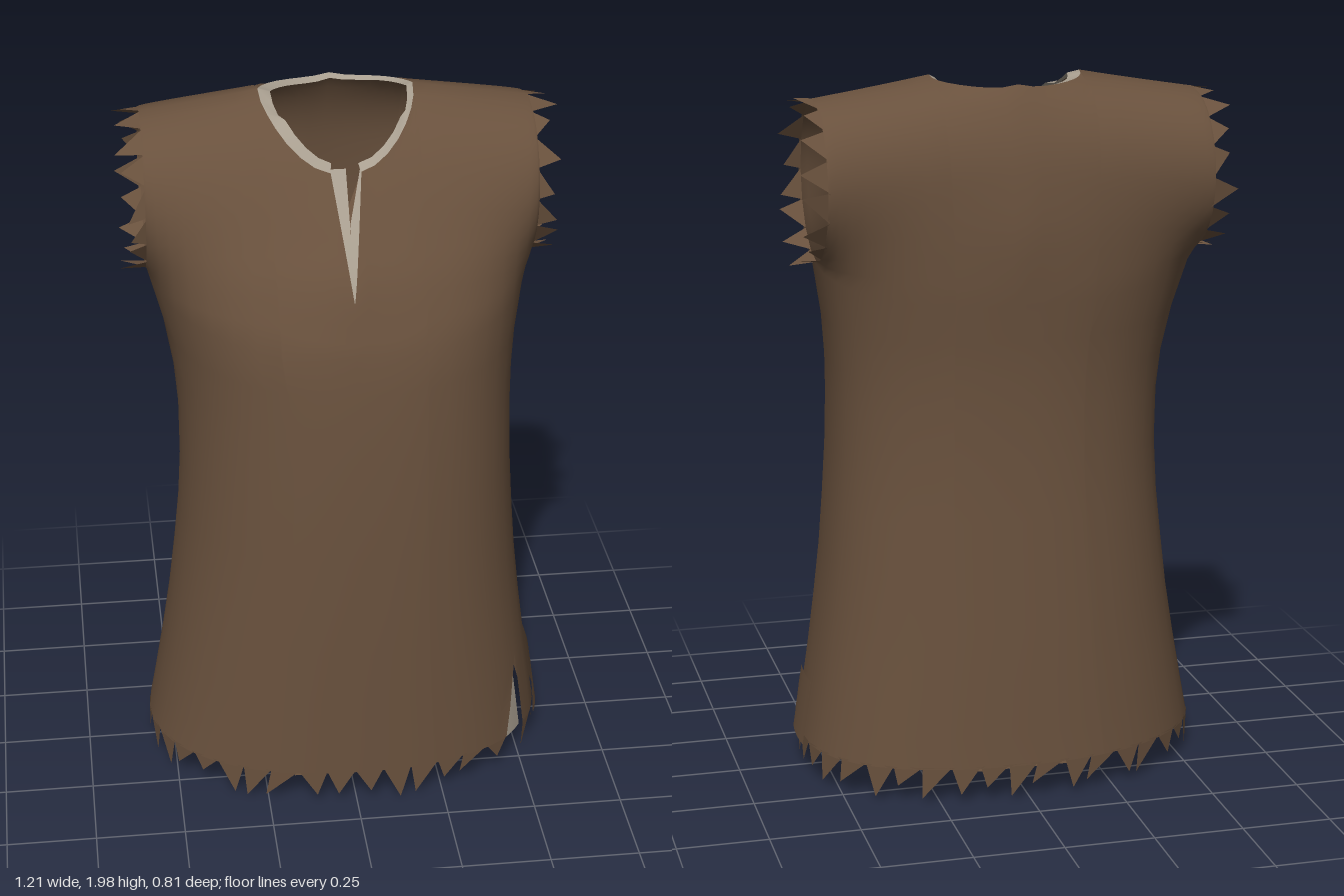
import * as THREE from 'three';
import { mergeVertices } from 'three/addons/utils/BufferGeometryUtils.js';

const V = (x, y, z) => new THREE.Vector3(x, y, z);
const lerp = THREE.MathUtils.lerp;
const ARM = 0.53, CHEST = 0.494, NECK = 0.21, SLIT_TOP = 0.35;
const LEFT_POWER = 2.4, RIGHT_POWER = 2.15;

// body sections: height, half width, front z, back z, side z, sideways shift
const SECTIONS = [
  [0.11, 0.570, 0.410, -0.402, 0.00, 0.002], [0.20, 0.555, 0.410, -0.396, 0.00, 0.004],
  [0.35, 0.530, 0.410, -0.388, 0.00, 0.006], [0.50, 0.508, 0.410, -0.378, 0.00, 0.008],
  [0.65, 0.490, 0.409, -0.368, -0.01, 0.010], [0.80, 0.476, 0.406, -0.358, -0.01, 0.012],
  [0.95, 0.467, 0.402, -0.348, -0.02, 0.013], [1.10, 0.465, 0.394, -0.345, -0.04, 0.013],
  [1.20, 0.468, 0.387, -0.346, -0.06, 0.011], [1.30, 0.477, 0.378, -0.350, -0.09, 0.007],
  [1.40, CHEST, 0.365, -0.360, -0.12, 0],
];
// centre outlines of the upper front and back, as [z, y] up to the shoulder ridge
const FRONT = [[0.365, 1.4], [0.31, 1.58], [0.24, 1.69], [0.165, 1.79], [0.085, 1.89], [0, 1.97], [-0.1, 2.04]];
const BACK = [[-0.36, 1.4], [-0.37, 1.57], [-0.36, 1.7], [-0.34, 1.81], [-0.305, 1.9], [-0.25, 1.98], [-0.1, 2.04]];

function random(seed) {
  return () => (seed = (seed * 16807) % 2147483647) / 2147483647;
}

// how far a column has turned from the middle (0) to the side (1)
function roundness(u) {
  const n = u > 0 ? LEFT_POWER : RIGHT_POWER;
  return 1 - Math.pow(Math.max(0, 1 - Math.pow(Math.abs(u), n)), 1 / n);
}

// columns across the body, closer together at the neck edge and armholes
const half = [], a = NECK / ARM;
for (let i = 0; i <= 8; i++) half.push(a * Math.sin(i / 8 * Math.PI / 2));
for (let i = 1; i <= 8; i++) half.push(a + (1 - a) * Math.sin(i / 8 * Math.PI / 2));
const COLUMNS = [...half.slice(1).reverse().map(u => -u), ...half];

// point on the lower body; side is 1 for front and -1 for back
function bodyPoint(u, side, y) {
  let i = 0;
  while (i < SECTIONS.length - 2 && y > SECTIONS[i + 1][0]) i++;
  const p = SECTIONS[i], q = SECTIONS[i + 1], f = (y - p[0]) / (q[0] - p[0]);
  const [, w, zf, zb, zc, shift] = p.map((n, k) => lerp(n, q[k], f));
  const r = roundness(u), flare = r * Math.pow(Math.max(0, (y - 0.9) / 0.5), 4);
  return V(u * (w + (ARM - CHEST) * flare) + shift, y + 0.1 * flare, lerp(side > 0 ? zf : zb, zc, r));
}

// upper outline over one column, blending the centre outline into the armhole circle
function upperCurve(u, side) {
  const r = roundness(u);
  return new THREE.CatmullRomCurve3((side > 0 ? FRONT : BACK).map(([z, y], k) => {
    const t = -Math.PI / 2 + k / 6 * Math.PI;
    const w = lerp(r, Math.pow(Math.abs(u), 0.8), k / 6);
    const x = u * lerp(CHEST, ARM, lerp(r, 1, Math.min(1, k / 4)));
    return V(x, lerp(y, 1.72 + 0.22 * Math.sin(t), w), lerp(z, -0.12 + side * 0.215 * Math.cos(t), w));
  }));
}

function solve(test) {
  let lo = 0, hi = 1;
  for (let i = 0; i < 30; i++) {
    const mid = (lo + hi) / 2;
    if (test(mid)) lo = mid; else hi = mid;
  }
  return lo;
}

// curve parameter at which a column meets the neckline
function neckEnd(curve, u, side, notch) {
  const s = Math.abs(u) / a;
  if (s >= 0.9999) return 1;
  const ridge = -0.107;
  let z = ridge + side * (side > 0 ? 0.235 : 0.147) * Math.sqrt(1 - s * s);
  if (notch && u === 0 && side > 0) z = 0.185;
  return solve(t => side * (curve.getPoint(t).z - z) > 0);
}

function gridTriangles(rows) {
  const out = [];
  for (let i = 0; i + 1 < rows.length; i++)
    for (let j = 0; j + 1 < rows[i].length; j++) {
      const p = rows[i][j], q = rows[i][j + 1], r = rows[i + 1][j + 1], s = rows[i + 1][j];
      out.push(p, q, r, p, r, s);
    }
  return out;
}

function smooth(points) {
  const g = mergeVertices(new THREE.BufferGeometry().setFromPoints(points), 1e-4);
  g.computeVertexNormals();
  return g;
}

function flat(points) {
  const g = new THREE.BufferGeometry().setFromPoints(points);
  g.computeVertexNormals();
  return g;
}

// torn points along an edge
function teeth(edge, count, direction, min, max, seed) {
  const rnd = random(seed), out = [];
  const pts = new THREE.CatmullRomCurve3(edge).getSpacedPoints(count);
  const back = direction.clone().multiplyScalar(-0.006);
  for (let i = 0; i < count; i++) {
    const tip = pts[i].clone().lerp(pts[i + 1], -0.2 + 0.9 * rnd());
    tip.addScaledVector(direction, min + (max - min) * rnd());
    out.push(pts[i].clone().add(back), tip, pts[i + 1].clone().add(back));
  }
  return out;
}

export function createModel() {
  const group = new THREE.Group();
  const cloth = new THREE.MeshStandardMaterial({ name: 'brown cloth', color: 0x69513d, side: THREE.DoubleSide });
  const lining = new THREE.MeshStandardMaterial({ name: 'pale lining', color: 0xa99f90, side: THREE.DoubleSide });
  const add = (name, geometry, material) => {
    const mesh = new THREE.Mesh(geometry, material);
    mesh.name = name;
    group.add(mesh);
  };

  // lower body, wrapped around from the slit at the left front
  const ring = [...COLUMNS.map(u => [u, 1]), ...COLUMNS.slice(0, -1).reverse().map(u => [u, -1])].slice(0, -1);
  let start = 0;
  ring.forEach(([u, s], i) => {
    if (s > 0 && Math.abs(u - 0.9) < Math.abs(ring[start][0] - 0.9)) start = i;
  });
  const wrapped = [...ring.slice(start), ...ring.slice(0, start + 1)];
  const rowAt = y => wrapped.map(([u, s], i) => {
    // the front edge of the slit is drawn back towards the middle
    const k = wrapped.length - 1 - i;
    const open = k < 4 ? 0.11 * Math.max(0, (SLIT_TOP - y) / 0.25) * (1 - k / 4) : 0;
    return bodyPoint(u - open, s, y);
  });
  const lower = SECTIONS.map(s => rowAt(s[0]));
  const triangles = gridTriangles(lower);

  // upper front and back, ending at the neckline and shoulder ridge
  const STEPS = 14;
  for (const side of [1, -1]) {
    const cols = side > 0 ? COLUMNS : [...COLUMNS].reverse();
    const lines = cols.map(u => {
      const curve = upperCurve(u, side), end = neckEnd(curve, u, side, true);
      return Array.from({ length: STEPS + 1 }, (_, i) => curve.getPoint(end * i / STEPS));
    });
    triangles.push(...gridTriangles(Array.from({ length: STEPS + 1 }, (_, i) => lines.map(l => l[i]))));
  }
  add('tunicBody', smooth(triangles), cloth);

  // torn hem and armholes
  add('tornHem', flat(teeth(lower[0], 38, V(0, -1, 0), 0.045, 0.098, 11)), cloth);
  for (const s of [1, -1]) {
    const edge = [...upperCurve(s, 1).getPoints(20), ...upperCurve(s, -1).getPoints(20).reverse().slice(1)];
    add(s > 0 ? 'leftArmholeFringe' : 'rightArmholeFringe',
      flat(teeth(edge, 16, V(s, 0, 0), 0.04, 0.075, 29 + s)), cloth);
  }

  // pale neck band, open at the front notch and wider on the right
  const neckCols = COLUMNS.filter(u => Math.abs(u) <= a + 1e-6);
  const neckPoint = (u, side) => {
    const c = upperCurve(u, side);
    return c.getPoint(neckEnd(c, u, side, false));
  };
  const outer = [
    ...neckCols.filter(u => u > 1e-6).map(u => neckPoint(u, 1)),
    ...[...neckCols].reverse().slice(1).map(u => neckPoint(u, -1)),
    ...neckCols.filter(u => u < -1e-6).slice(1).map(u => neckPoint(u, 1)),
  ];
  const inner = outer.map(p => {
    const k = lerp(0.84, 0.92, THREE.MathUtils.smoothstep(p.x, -0.1, 0.15));
    return V(p.x * k, p.y + (p.z > 0 ? 0.016 : -0.008), -0.08 + (p.z + 0.08) * k);
  });
  add('neckBand', smooth(gridTriangles([outer, inner])), lining);

  // pale edges of the front neck slit, tapering to a point; the notch shows on the left
  const middle = upperCurve(0, 1);
  for (const s of [-1, 1]) {
    const rows = [];
    for (let i = 0; i <= 10; i++) {
      const f = i / 10, y = lerp(1.848, 1.55, f);
      const z = middle.getPoint(solve(t => middle.getPoint(t).y < y)).z + 0.006;
      const gap = V(s > 0 ? 0.038 * Math.max(0, 1 - f * 2.4) : 0, y, z);
      const rim = V(s * 0.042 * (1 - f * 0.98), y, z);
      rows.push(s > 0 ? [gap, rim] : [rim, gap]);
    }
    add(s > 0 ? 'leftNeckSlitEdge' : 'rightNeckSlitEdge', smooth(gridTriangles(rows.reverse())), lining);
  }

  // pale cloth behind the side slit
  const slitRows = [0.08, 0.2, 0.34].map(y => [0.74, 0.8, 0.85, 0.89, 0.92].map(u => {
    const p = bodyPoint(u, 1, y);
    return V(p.x - 0.02, p.y, p.z - 0.02);
  }));
  add('slitLining', smooth(gridTriangles(slitRows)), lining);

  // patch sewn to the left side
  const patchRows = [0.1, 0.16, 0.22, 0.285].map((y, i) => Array.from({ length: 9 }, (_, j) => {
    const z = lerp(lerp(0.16, 0.09, i / 3), -0.07, j / 8);
    const u = Math.pow(1 - Math.pow(Math.abs(z) / 0.405, LEFT_POWER), 1 / LEFT_POWER);
    const p = bodyPoint(u, z >= 0 ? 1 : -1, y);
    return V(p.x + 0.009, p.y, z);
  }));
  add('sidePatch', smooth(gridTriangles(patchRows)), cloth);

  // strap between the legs, narrow in the middle, with a pale seam on top
  const strap = [-0.39, -0.3, -0.22, -0.1, 0.04, 0.12, 0.25, 0.39].map(z => {
    const w = 0.02 + 0.45 * Math.max(0, Math.abs(z + 0.03) - 0.07);
    return [V(w, 0.1, z), V(-w, 0.1, z)];
  });
  add('legStrap', smooth(gridTriangles(strap.reverse())), cloth);
  const seam = [0.04, -0.12].map(z => [V(-0.015, 0.106, z), V(0.008, 0.106, z)]);
  add('strapSeam', flat(gridTriangles(seam)), lining);
  return group;
}
